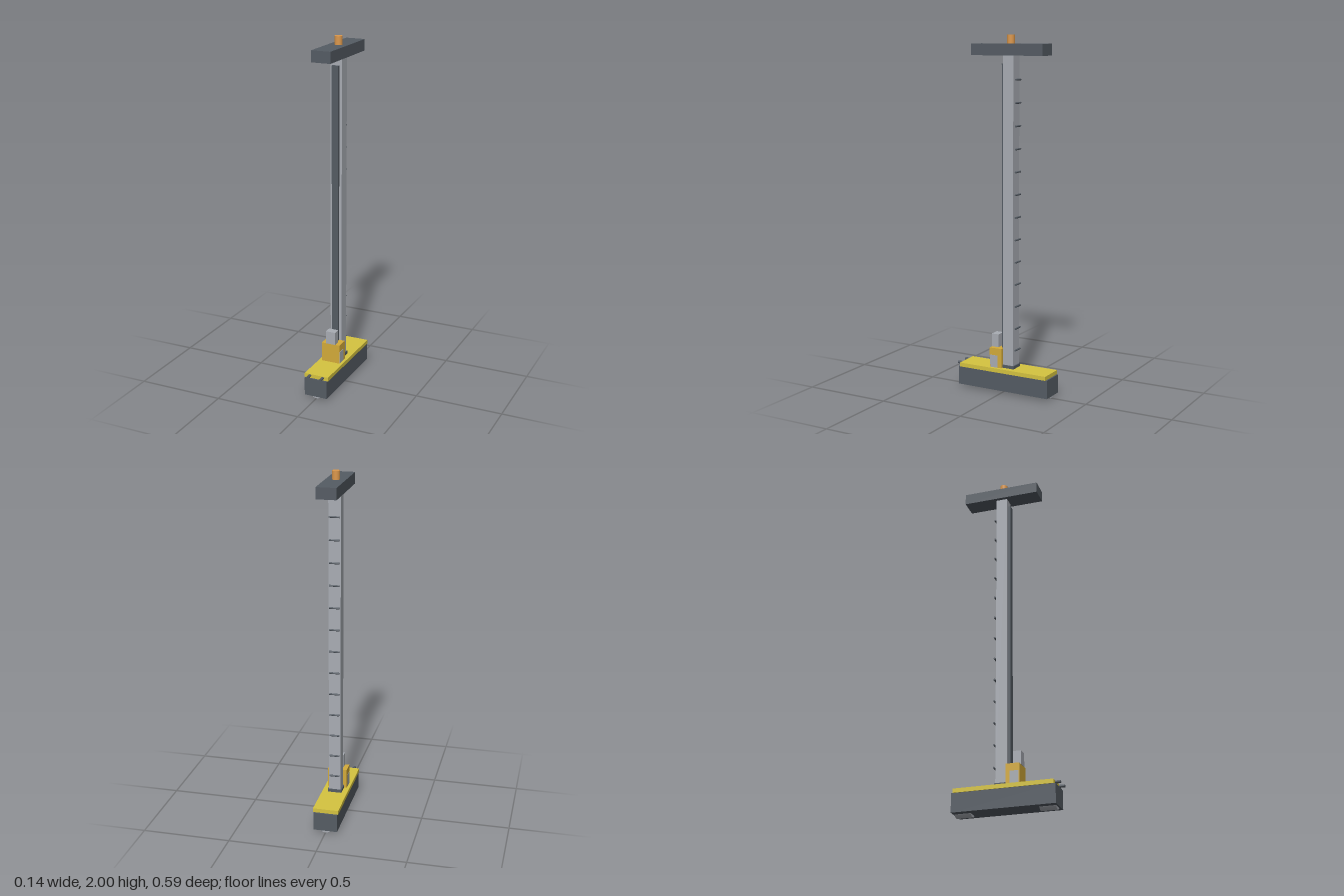
import * as THREE from 'three';

const material = (color) => new THREE.MeshStandardMaterial({ color });

export function createModel() {
  const group = new THREE.Group();
  const dark = material(0x555c64);
  const steel = material(0xa9adb4);
  const yellow = material(0xd6c440);
  const gold = material(0xd4ab3a);
  const copper = material(0xdc984c);

  const add = (name, geometry, mat, x, y, z) => {
    const mesh = new THREE.Mesh(geometry, mat);
    mesh.name = name;
    mesh.position.set(x, y, z);
    group.add(mesh);
    return mesh;
  };
  // Box given by its width and its y and z ranges, centred on x
  const box = (name, mat, width, y0, y1, z0, z1, x = 0) =>
    add(name, new THREE.BoxGeometry(width, y1 - y0, z1 - z0), mat, x, (y0 + y1) / 2, (z0 + z1) / 2);
  const rod = (name, mat, radius, length, x, y, z, sides = 24) =>
    add(name, new THREE.CylinderGeometry(radius, radius, length, sides), mat, x, y, z);

  // Base carriage with its deck
  box('baseCarriage', dark, 0.136, 0.015, 0.12, -0.295, 0.275);
  box('deckPlate', yellow, 0.145, 0.12, 0.143, -0.286, 0.265);

  // Rollers showing under the base
  for (const z of [0.22, -0.243]) {
    rod('roller', steel, 0.0375, 0.09, 0, 0.0375, z).rotation.x = Math.PI / 2;
  }

  // Buffers at the front of the deck
  for (const side of [-1, 1]) {
    rod('buffer', dark, 0.008, 0.045, side * 0.039, 0.134, 0.2725, 16).rotation.x = Math.PI / 2;
  }

  // Mast, its foot and the front guide rail
  box('mastFoot', dark, 0.08, 0.143, 0.16, -0.068, 0.006);
  box('mast', steel, 0.068, 0.143, 1.89, -0.062, 0.002);
  box('guideRail', dark, 0.038, 0.143, 1.847, 0, 0.018);

  // Ladder rungs up the back of the mast
  for (let i = 0; i < 13; i++) {
    rod('rung', dark, 0.005, 0.056, 0, 0.25 + i * 0.1259, -0.073, 12).rotation.z = Math.PI / 2;
  }

  // Drive cabinet with side panels and a motor block on top
  box('driveCabinet', gold, 0.11, 0.143, 0.255, 0.002, 0.077);
  for (const side of [-1, 1]) {
    box('sidePanel', steel, 0.006, 0.143, 0.214, 0.025, 0.073, side * 0.0535);
  }
  box('motorBlock', steel, 0.057, 0.255, 0.33, 0.035, 0.078);

  // Top beam and its pin
  box('topBeam', dark, 0.11, 1.89, 1.953, -0.249, 0.19);
  rod('topPin', copper, 0.0215, 0.05, 0, 1.975, -0.029, 32);

  return group;
}
